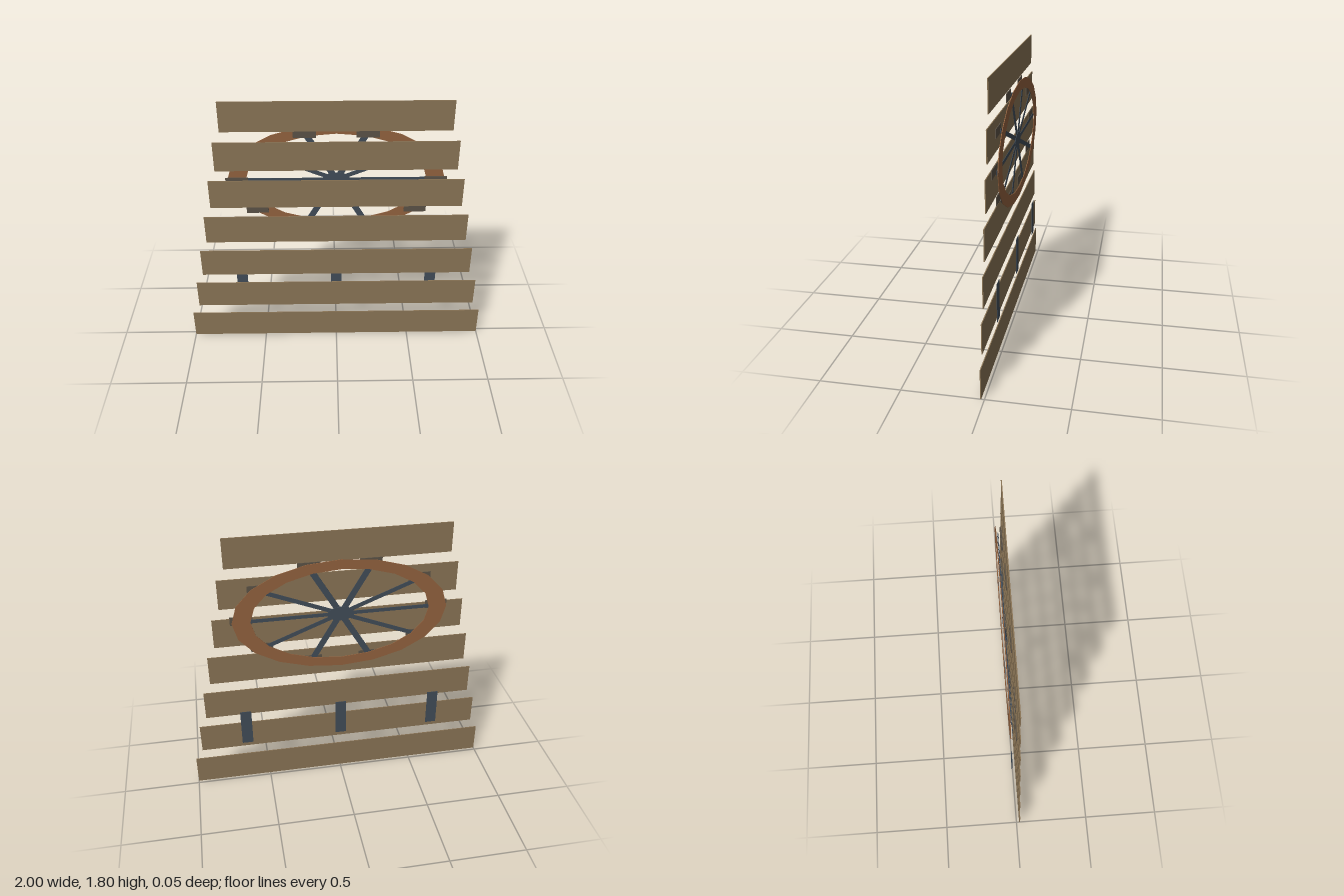
import * as THREE from 'three';

const mat = (name, color) => {
  const m = new THREE.MeshStandardMaterial({ color });
  m.name = name;
  return m;
};

export function createModel() {
  const wood = mat('weathered wood', 0x8b7556);
  const rimWood = mat('reddish rim wood', 0x94633f);
  const iron = mat('dark iron', 0x414d59);
  const clipMetal = mat('clip metal', 0x5c5347);
  const model = new THREE.Group();
  model.name = 'slattedPanel';

  const slab = (name, w, h, d, x, y, z, material, parent = model) => {
    const mesh = new THREE.Mesh(new THREE.BoxGeometry(w, h, d), material);
    mesh.name = name;
    mesh.position.set(x, y, z);
    parent.add(mesh);
    return mesh;
  };

  // Seven slats, each shorter than the one below
  for (let i = 0; i < 7; i++) {
    slab('slat', 2 - i * 0.1, 0.195, 0.006, 0, 0.0975 + i * 0.2667, 0.022, wood);
  }

  // Iron straps behind the lower slats
  for (const x of [-0.64, 0, 0.64]) slab('strap', 0.073, 0.255, 0.003, x, 0.4425, -0.01, iron);

  // Flattened wheel: a round wheel squashed in height
  const wheel = new THREE.Group();
  wheel.name = 'wheel';
  wheel.position.y = 1.25;
  wheel.scale.y = 0.552;
  model.add(wheel);

  const circle = (r, n) => Array.from({ length: n }, (_, i) => {
    const a = (i / n) * Math.PI * 2;
    return new THREE.Vector2(Math.cos(a) * r, Math.sin(a) * r);
  });
  const rimShape = new THREE.Shape(circle(0.68, 20));
  rimShape.holes.push(new THREE.Path(circle(0.565, 20)));
  const rim = new THREE.Mesh(
    new THREE.ExtrudeGeometry(rimShape, { depth: 0.004, bevelEnabled: false }), rimWood);
  rim.name = 'rim';
  rim.position.z = -0.025;
  wheel.add(rim);

  const hub = new THREE.Mesh(
    new THREE.ExtrudeGeometry(new THREE.Shape(circle(0.09, 10)), { depth: 0.006, bevelEnabled: false }), iron);
  hub.name = 'hub';
  hub.position.z = -0.014;
  wheel.add(hub);

  // Ten spokes, with a clip over the rim at the end of each
  for (let i = 0; i < 10; i++) {
    const a = (i / 10) * Math.PI * 2;
    const c = Math.cos(a), s = Math.sin(a);
    const spoke = slab('spoke', 0.66, 0.043, 0.003, c * 0.33, s * 0.33, -0.01, iron, wheel);
    spoke.rotation.z = a;
    slab('clip', 0.14, 0.055, 0.005, c * 0.62, 1.25 + s * 0.345, 0.01, clipMetal);
  }

  return model;
}
